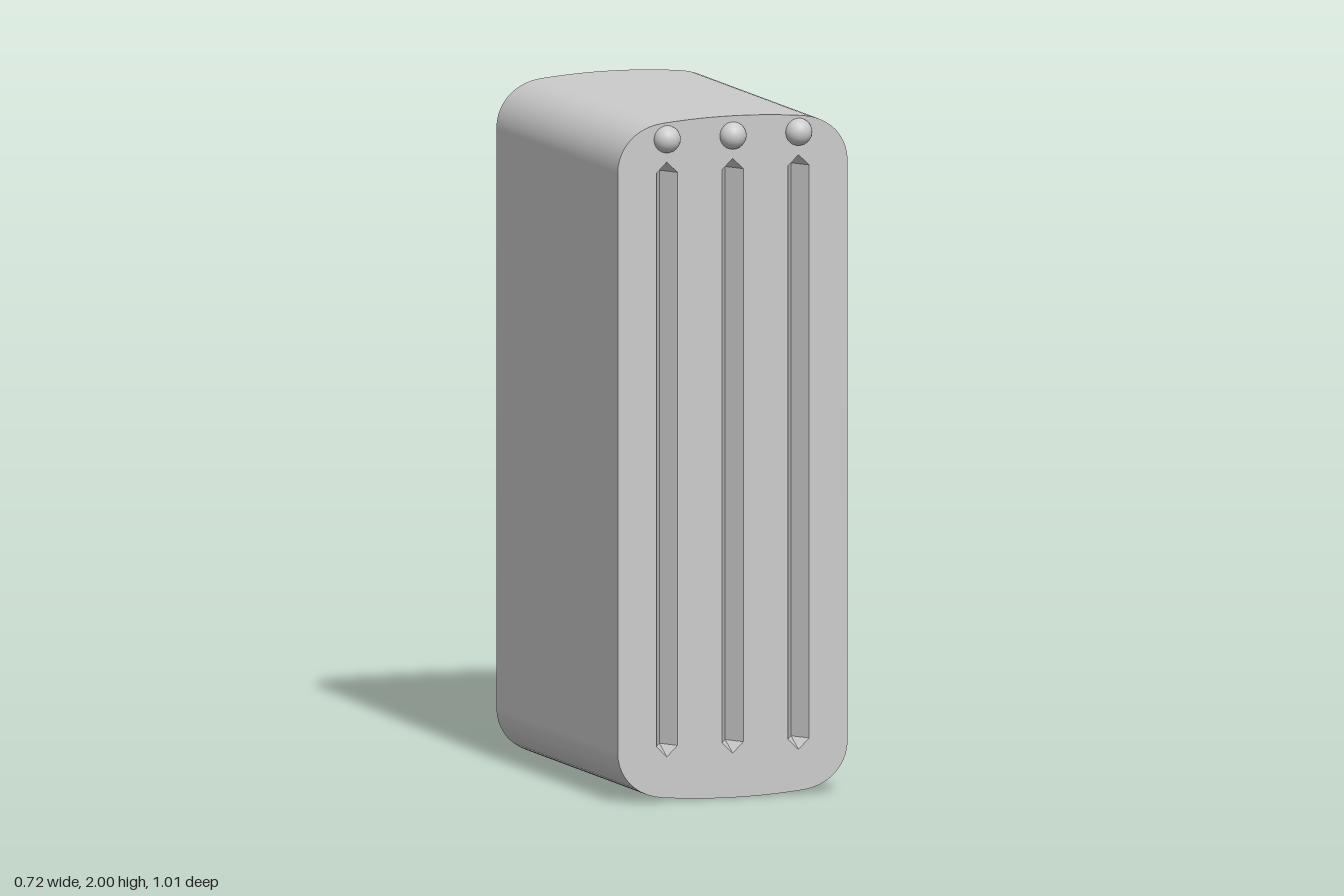
import * as THREE from 'three';

const FRONT = 0.465, BACK = -0.505, DEPTH = 0.06;
const COLUMNS = [-0.205, 0, 0.205];
const grey = new THREE.MeshStandardMaterial({ color: 0xcccccc });
const flatGrey = new THREE.MeshStandardMaterial({ color: 0xcccccc, flatShading: true });

function addMesh(group, name, geometry, material = grey) {
  const mesh = new THREE.Mesh(geometry, material);
  mesh.name = name;
  group.add(mesh);
  return mesh;
}

// Rounded upright outline with gently bowed top and bottom, counter-clockwise
function bodyOutline() {
  const s = new THREE.Shape();
  s.moveTo(0.358, 0.15);
  s.lineTo(0.358, 1.85);
  s.bezierCurveTo(0.358, 1.92, 0.305, 1.98, 0.22, 1.989);
  s.quadraticCurveTo(0.11, 2, 0, 2);
  s.quadraticCurveTo(-0.11, 2, -0.22, 1.989);
  s.bezierCurveTo(-0.305, 1.98, -0.358, 1.92, -0.358, 1.85);
  s.lineTo(-0.358, 0.15);
  s.bezierCurveTo(-0.358, 0.08, -0.305, 0.02, -0.22, 0.011);
  s.quadraticCurveTo(-0.11, 0, 0, 0);
  s.quadraticCurveTo(0.11, 0, 0.22, 0.011);
  s.bezierCurveTo(0.305, 0.02, 0.358, 0.08, 0.358, 0.15);
  return s;
}

// Long slot outline with pointed ends, relative to its own centre line
const slot = [[0, 0.13], [0.033, 0.162], [0.033, 1.843], [0, 1.875], [-0.033, 1.843], [-0.033, 0.162]];

// Smooth wall running from the back edge to the front edge
function wallGeometry(points) {
  const n = points.length, position = [], index = [];
  points.forEach((p) => position.push(p.x, p.y, FRONT, p.x, p.y, BACK));
  for (let i = 0; i < n; i++) {
    const a = 2 * i, b = 2 * ((i + 1) % n);
    index.push(a, a + 1, b + 1, a, b + 1, b);
  }
  const g = new THREE.BufferGeometry();
  g.setAttribute('position', new THREE.Float32BufferAttribute(position, 3));
  g.setIndex(index);
  g.computeVertexNormals();
  return g;
}

// V-shaped recess: the slot outline sinks to a valley line
function grooveGeometry() {
  const corners = slot.map(([x, y]) => [x, y, 0]);
  corners.push([0, 0.162, -DEPTH], [0, 1.843, -DEPTH]);
  const g = new THREE.BufferGeometry();
  g.setAttribute('position', new THREE.Float32BufferAttribute(corners.flat(), 3));
  g.setIndex([0, 1, 6, 1, 2, 7, 1, 7, 6, 2, 3, 7, 3, 4, 7, 4, 5, 6, 4, 6, 7, 5, 0, 6]);
  g.computeVertexNormals();
  return g;
}

export function createModel() {
  const model = new THREE.Group();
  model.name = 'slottedCase';

  // Case: wall, plain back and slotted front
  const outline = bodyOutline();
  const points = outline.getPoints(10);
  points.pop(); // the last point repeats the first
  addMesh(model, 'caseWall', wallGeometry(points));

  const back = addMesh(model, 'backPanel', new THREE.ShapeGeometry(outline, 10));
  back.rotation.y = Math.PI;
  back.position.z = BACK;

  const face = bodyOutline();
  for (const x of COLUMNS) {
    face.holes.push(new THREE.Path(slot.map(([sx, y]) => new THREE.Vector2(x + sx, y))));
  }
  addMesh(model, 'frontPanel', new THREE.ShapeGeometry(face, 10)).position.z = FRONT;

  // A groove with a round button above it in each column
  const groove = grooveGeometry();
  const button = new THREE.SphereGeometry(0.04, 32, 20);
  COLUMNS.forEach((x, i) => {
    addMesh(model, `groove${i + 1}`, groove, flatGrey).position.set(x, 0, FRONT);
    addMesh(model, `button${i + 1}`, button).position.set(x, 1.942, FRONT);
  });
  return model;
}
